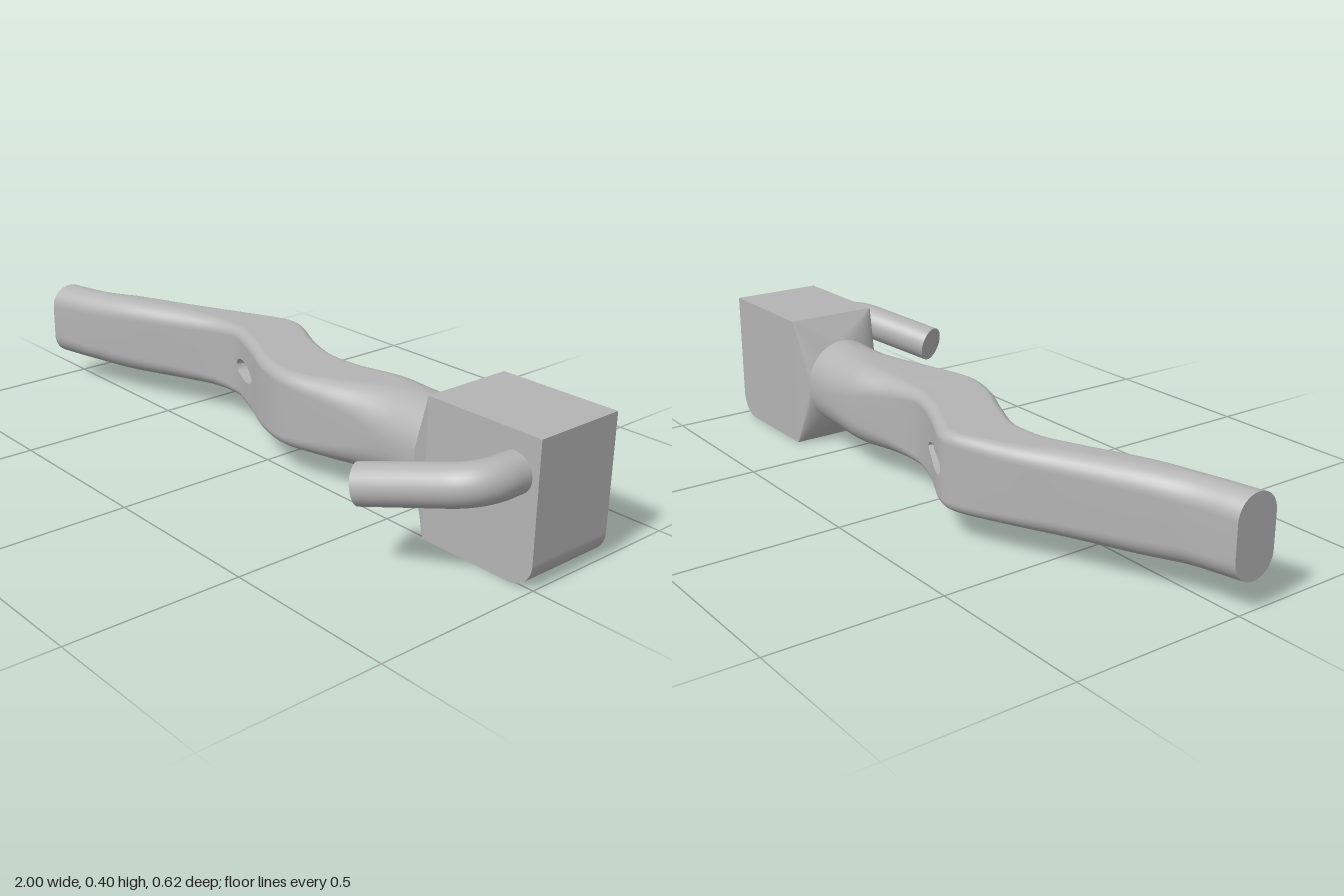
import * as THREE from 'three';
import { mergeVertices } from 'three/addons/utils/BufferGeometryUtils.js';

const CY = 0.195; // height of the arm's middle line
const V = (x, y, z) => new THREE.Vector3(x, y, z);

// Stations along the arm: front x, front z, back x, back z, half height, corner radius
const stations = [
  [-1, 0.105, -1, -0.025, 0.115, 0.064],
  [-0.84, 0.066, -0.87, -0.055, 0.116, 0.062],
  [-0.7, 0.02, -0.75, -0.105, 0.119, 0.058],
  [-0.5, -0.064, -0.556, -0.19, 0.116, 0.05],
  [-0.4, -0.1, -0.42, -0.255, 0.112, 0.04],
  [-0.316, -0.112, -0.25, -0.314, 0.111, 0.03],
  [-0.27, -0.105, -0.205, -0.309, 0.111, 0.03],
  [-0.145, -0.053, -0.06, -0.24, 0.111, 0.03],
  [-0.02, 0.005, 0.05, -0.202, 0.111, 0.03],
  [0.1, 0.033, 0.11, -0.198, 0.112, 0.035],
  [0.24, 0.012, 0.2, -0.213, 0.116, 0.055],
  [0.36, -0.012, 0.33, -0.251, 0.123, 0.085],
  [0.45, -0.016, 0.45, -0.257, 0.127, 0.11],
  [0.58, -0.01, 0.58, -0.25, 0.131, 0.119],
];

const ARC = 9; // steps per rounded corner

// Rounded section between a front and a back point; slit is the half height of the opening
function ring(front, back, half, radius, cy, slit = 0) {
  const width = front.distanceTo(back);
  const r = Math.min(radius, width / 2 - 0.001);
  const pts = [];
  const add = (t, y) => pts.push(front.clone().lerp(back, t / width).setY(cy + y));
  add(0, slit);
  for (const [c, a0] of [[r, 0], [width - r, 1]]) {
    for (let k = 0; k <= ARC; k++) {
      const a = (a0 + k / ARC) * Math.PI / 2;
      add(c - r * Math.cos(a), half - r + r * Math.sin(a));
    }
  }
  add(width, slit);
  // the lower half mirrors the upper half
  return pts.concat(pts.map((p) => p.clone().setY(2 * cy - p.y)).reverse());
}

// Surface through rows of points; skip(i, j) leaves a quad open
function skin(rows, closed, skip = () => false) {
  const n = rows[0].length, index = [];
  for (let i = 0; i < rows.length - 1; i++) {
    for (let j = 0; j < (closed ? n : n - 1); j++) {
      if (skip(i, j)) continue;
      const k = (j + 1) % n;
      const a = i * n + j, b = i * n + k, c = a + n, d = b + n;
      index.push(a, c, b, b, c, d);
    }
  }
  let g = new THREE.BufferGeometry().setFromPoints(rows.flat());
  g.setIndex(index);
  g = mergeVertices(g, 1e-5);
  g.computeVertexNormals();
  return g;
}

export function createModel() {
  const model = new THREE.Group();
  const metal = new THREE.MeshStandardMaterial({ color: 0xb4b4b4 });
  metal.name = 'grey metal';
  const part = (name, geometry) => {
    const mesh = new THREE.Mesh(geometry, metal);
    mesh.name = name;
    model.add(mesh);
    return mesh;
  };

  // Bent arm, with a lens-shaped slot through its elbow
  const frontCurve = new THREE.CatmullRomCurve3(stations.map((s) => V(s[0], 0, s[1])));
  const backCurve = new THREE.CatmullRomCurve3(stations.map((s) => V(s[2], 0, s[3])));
  const sizeCurve = new THREE.CatmullRomCurve3(stations.map((s) => V(s[4], s[5], 0)), false, 'catmullrom');
  const STEPS = (stations.length - 1) * 20, slotStart = 116, slotEnd = 142;
  const rows = [];
  for (let i = 0; i <= STEPS; i++) {
    const t = i / STEPS, size = sizeCurve.getPoint(t);
    const u = (2 * i - slotStart - slotEnd) / (slotEnd - slotStart);
    const slit = Math.abs(u) < 1 ? 0.029 * Math.pow(1 - u * u, 0.65) : 0;
    rows.push(ring(frontCurve.getPoint(t), backCurve.getPoint(t), size.x, size.y, CY, slit));
  }
  const n = rows[0].length, backTop = n / 2 - 1;
  part('arm', skin(rows, true, (i, j) => j === backTop || j === n - 1
    ? i >= slotStart && i < slotEnd || rows[i][j].distanceTo(rows[i][(j + 1) % n]) + rows[i + 1][j].distanceTo(rows[i + 1][(j + 1) % n]) < 1e-6
    : false));

  // Slot walls
  const slotRows = rows.slice(slotStart, slotEnd + 1);
  part('slotUpperWall', skin(slotRows.map((r) => [r[backTop], r[0]]), false));
  part('slotLowerWall', skin(slotRows.map((r) => [r[n - 1], r[backTop + 1]]), false));

  // Flat cap on the free end
  const end = rows[0];
  const middle = end[0].clone().lerp(end[backTop], 0.5);
  part('armEndCap', skin([end.map(() => middle.clone()), end], true));

  // Flare from the round neck to the square block
  const neck = rows[STEPS];
  const square = ring(V(0.64, 0, 0.01), V(0.64, 0, -0.268), 0.1975, 0.002, 0.1975);
  part('flare', skin([neck, square], true));

  // Block with one rounded lower edge
  const profile = new THREE.Shape();
  profile.moveTo(0.64, 0).lineTo(0.93, 0);
  profile.absarc(0.93, 0.07, 0.07, -Math.PI / 2, 0, false);
  profile.lineTo(1, 0.395).lineTo(0.64, 0.395);
  const block = new THREE.ExtrudeGeometry(profile, { depth: 0.278, bevelEnabled: false, curveSegments: 12 });
  part('block', block.translate(0, 0, -0.268));

  // Bent pipe on the front of the block
  const root = V(0.925, 0.288, 0), corner = V(0.925, 0.288, 0.127), tip = V(0.65, 0.23, 0.25);
  const dir = tip.clone().sub(corner).normalize();
  const bendIn = V(0.925, 0.288, 0.05), bendOut = corner.clone().addScaledVector(dir, 0.077);
  const path = new THREE.CurvePath();
  path.add(new THREE.LineCurve3(root, bendIn));
  path.add(new THREE.QuadraticBezierCurve3(bendIn, corner, bendOut));
  path.add(new THREE.LineCurve3(bendOut, tip));
  part('pipe', new THREE.TubeGeometry(path, 60, 0.055, 32));
  const cap = part('pipeEndCap', new THREE.CircleGeometry(0.055, 32));
  cap.position.copy(tip);
  cap.lookAt(tip.clone().add(dir));

  return model;
}
